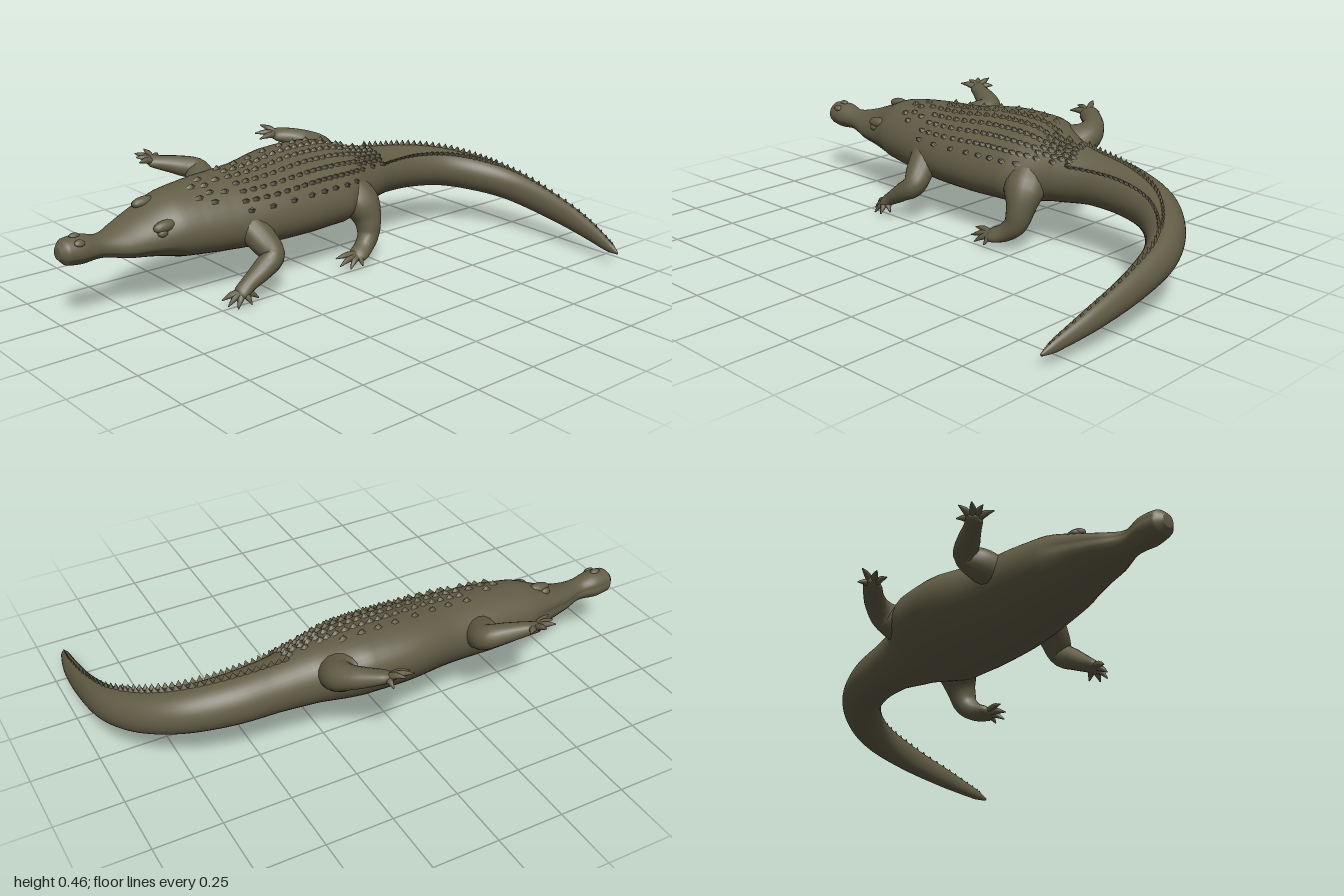
import * as THREE from 'three';
import { mergeGeometries } from 'three/addons/utils/BufferGeometryUtils.js';

const V = (x, y, z) => new THREE.Vector3(x, y, z);
const ROLL = 0.43; // the whole animal leans over on its right side
const DORSAL = V(0, Math.cos(ROLL), Math.sin(ROLL));

// Smooth interpolation through stations [x, y, z, halfWidth, halfHeight]
function makeSkin(stations, shape = () => 1) {
  const path = new THREE.CatmullRomCurve3(stations.map(s => V(s[0], s[1], s[2])));
  const size = new THREE.CatmullRomCurve3(stations.map(s => V(s[3], s[4], 0)));
  const last = stations.length - 1;
  // u is a station number, a is the angle round the ring (PI / 2 = back)
  return (u, a) => {
    const t = Math.min(1, Math.max(0, u / last));
    const tangent = path.getTangent(t);
    const up = DORSAL.clone().addScaledVector(tangent, -DORSAL.dot(tangent)).normalize();
    const side = up.clone().cross(tangent);
    const { x: w, y: h } = size.getPoint(t);
    const k = shape(u, a), c = Math.cos(a), s = Math.sin(a);
    const point = path.getPoint(t).addScaledVector(side, w * c * k).addScaledVector(up, h * s * k);
    const normal = side.clone().multiplyScalar(c / w).addScaledVector(up, s / h).normalize();
    return { point, normal, tangent };
  };
}

// Closed tube of rings over a skin
function skinGeometry(skin, last, rings, sides) {
  const pos = [], index = [];
  for (let i = 0; i <= rings; i++)
    for (let j = 0; j < sides; j++)
      pos.push(...skin(last * i / rings, j / sides * Math.PI * 2).point.toArray());
  for (let i = 0; i < rings; i++)
    for (let j = 0; j < sides; j++) {
      const a = i * sides + j, b = i * sides + (j + 1) % sides;
      index.push(a, b, a + sides, b, b + sides, a + sides);
    }
  const end = rings * sides;
  for (let j = 1; j < sides - 1; j++) index.push(0, j + 1, j, end, end + j, end + j + 1);
  const geo = new THREE.BufferGeometry();
  geo.setAttribute('position', new THREE.Float32BufferAttribute(pos, 3));
  geo.setIndex(index);
  geo.computeVertexNormals();
  return geo;
}

const BODY = [
  [-1, .27, -.237, .022, .022], [-.975, .27, -.237, .048, .046], [-.92, .268, -.237, .054, .051],
  [-.85, .263, -.235, .045, .041], [-.75, .261, -.242, .082, .054], [-.65, .27, -.247, .113, .078],
  [-.55, .278, -.247, .143, .11], [-.4, .283, -.24, .167, .122], [-.2, .287, -.23, .19, .128],
  [0, .297, -.245, .213, .134], [.15, .298, -.245, .208, .132], [.3, .29, -.24, .135, .112],
  [.45, .285, -.245, .1, .095], [.6, .275, -.235, .09, .088], [.75, .255, -.185, .08, .08],
  [.86, .225, -.09, .068, .074], [.927, .195, .03, .055, .066], [.955, .155, .2, .04, .057],
  [.955, .108, .4, .03, .042], [.936, .063, .56, .016, .021], [.93, .05, .605, .004, .005],
];

// Mouth groove along the jaw, plus a slight ripple of the hide
function bodyShape(u, a) {
  const jaw = THREE.MathUtils.smoothstep(u, .2, 1.5) * (1 - THREE.MathUtils.smoothstep(u, 5.2, 6.2));
  const groove = .09 * jaw * Math.exp(-(((Math.sin(a) + .25) / .12) ** 2));
  const hide = u > 6.5 && u < 13 ? .006 * Math.sin(u * 18) * Math.max(0, Math.sin(a)) : 0;
  return 1 - groove + hide;
}

export function createModel() {
  const model = new THREE.Group();
  const olive = new THREE.MeshStandardMaterial({ color: 0x625d46 });
  olive.name = 'olive hide';
  const add = (name, geo) => {
    const mesh = new THREE.Mesh(geo, olive);
    mesh.name = name;
    model.add(mesh);
  };

  const body = makeSkin(BODY, bodyShape);
  add('body', skinGeometry(body, BODY.length - 1, 140, 40));

  // Place a shape on the hide, its y axis along the surface normal
  const onBody = (geo, u, a, sx, sy, sz, lift = 0) => {
    const { point, normal, tangent } = body(u, a);
    const side = normal.clone().cross(tangent).normalize();
    const along = side.clone().cross(normal);
    const m = new THREE.Matrix4().makeBasis(side, normal, along);
    m.setPosition(point.addScaledVector(normal, lift)).scale(V(sx, sy, sz));
    return geo.clone().applyMatrix4(m);
  };
  const spike = new THREE.ConeGeometry(1, 1, 5);
  const ball = new THREE.SphereGeometry(1, 14, 10);
  const TOP = Math.PI / 2;

  // Rows of low scutes on the back
  const scutes = [];
  for (let r = 0; r < 21; r++) {
    const u = 7.5 + r * .2;
    const spread = u > 10.6 ? .5 : .72;
    for (let c = -3; c <= 3; c++) {
      if (Math.abs(c) === 3 && r % 2) continue;
      scutes.push(onBody(spike, u + (c % 2) * .04, TOP + .06 + c / 3 * spread, .015, .024, .024, .004));
    }
  }
  // Neck shields
  for (const [u, c] of [[6.6, .2], [6.6, -.2], [6.9, .12], [6.9, -.12], [6.9, .4], [6.9, -.4], [7.2, .2], [7.2, -.2]])
    scutes.push(onBody(spike, u, TOP + c, .02, .026, .032, .002));
  add('back scutes', mergeGeometries(scutes));

  // Twin tail crests that join into one toward the tip
  const crest = [];
  for (let i = 0; i < 24; i++) {
    const u = 11.6 + i * .17;
    const gap = .6 * (1 - i / 26);
    for (const s of [-1, 1]) crest.push(onBody(spike, u, TOP + s * gap, .009, .034, .024, .004));
  }
  for (let i = 0; i < 20; i++) {
    const u = 15.7 + i * .18, k = 1 - i / 26;
    crest.push(onBody(spike, u, TOP, .008 * k, .036 * k, .026 * k, .004));
  }
  add('tail crest', mergeGeometries(crest));

  // Brows, eyes and nostrils
  for (const s of [-1, 1]) {
    add('brow', onBody(ball, 5.25, TOP + s * .62, .022, .02, .045));
    add('eye', onBody(ball, 5.1, TOP + s * .82, .015, .014, .02));
    add('nostril', onBody(ball, 1.75, TOP + s * .4, .014, .009, .02));
  }

  // Limb: tapering leg ending in a palm, with pointed toes
  const addLimb = (name, stations, root, tips) => {
    const parts = [skinGeometry(makeSkin(stations), stations.length - 1, 28, 16)];
    for (const [x, y, z] of tips) {
      const a = V(...root), b = V(x, y, z), mid = a.clone().lerp(b, .55);
      mid.y += .006;
      const toe = [[...root, .016, .014], [...mid.toArray(), .012, .011], [x, y, z, .002, .002]];
      parts.push(skinGeometry(makeSkin(toe), 2, 8, 8));
    }
    add(name, mergeGeometries(parts));
  };

  addLimb('left front leg', [
    [-.33, .31, -.31, .06, .06], [-.305, .345, -.4, .062, .058], [-.285, .375, -.46, .046, .045],
    [-.34, .395, -.495, .04, .036], [-.4, .41, -.525, .031, .026], [-.435, .42, -.545, .03, .018], [-.45, .425, -.55, .01, .008],
  ], [-.425, .416, -.54], [[-.5, .43, -.515], [-.49, .44, -.555], [-.475, .445, -.59], [-.425, .45, -.605], [-.38, .43, -.58]]);

  addLimb('right front leg', [
    [-.3, .25, -.12, .06, .06], [-.275, .2, -.06, .056, .052], [-.265, .15, -.015, .045, .045],
    [-.32, .112, -.005, .04, .036], [-.38, .074, -.005, .031, .027], [-.42, .05, 0, .029, .018], [-.435, .042, 0, .01, .008],
  ], [-.41, .053, 0], [[-.485, .03, -.025], [-.475, .012, 0], [-.45, .004, .025], [-.4, .012, .04], [-.36, .025, .025]]);

  addLimb('left hind leg', [
    [.2, .31, -.29, .075, .075], [.24, .35, -.365, .08, .07], [.265, .375, -.41, .06, .055],
    [.25, .395, -.46, .045, .042], [.21, .41, -.505, .038, .033], [.165, .42, -.54, .036, .023], [.135, .423, -.56, .012, .008],
  ], [.165, .42, -.54], [[.075, .415, -.54], [.08, .43, -.58], [.13, .45, -.61], [.17, .415, -.6]]);

  addLimb('right hind leg', [
    [.21, .27, -.15, .08, .075], [.23, .225, -.1, .078, .07], [.24, .16, -.07, .052, .055],
    [.23, .105, -.055, .042, .044], [.195, .07, -.04, .037, .034], [.15, .053, -.02, .036, .022], [.12, .045, -.01, .012, .008],
  ], [.15, .055, -.02], [[.05, .055, -.035], [.05, .03, -.01], [.085, .018, .012], [.14, .02, .018]]);

  return model;
}
